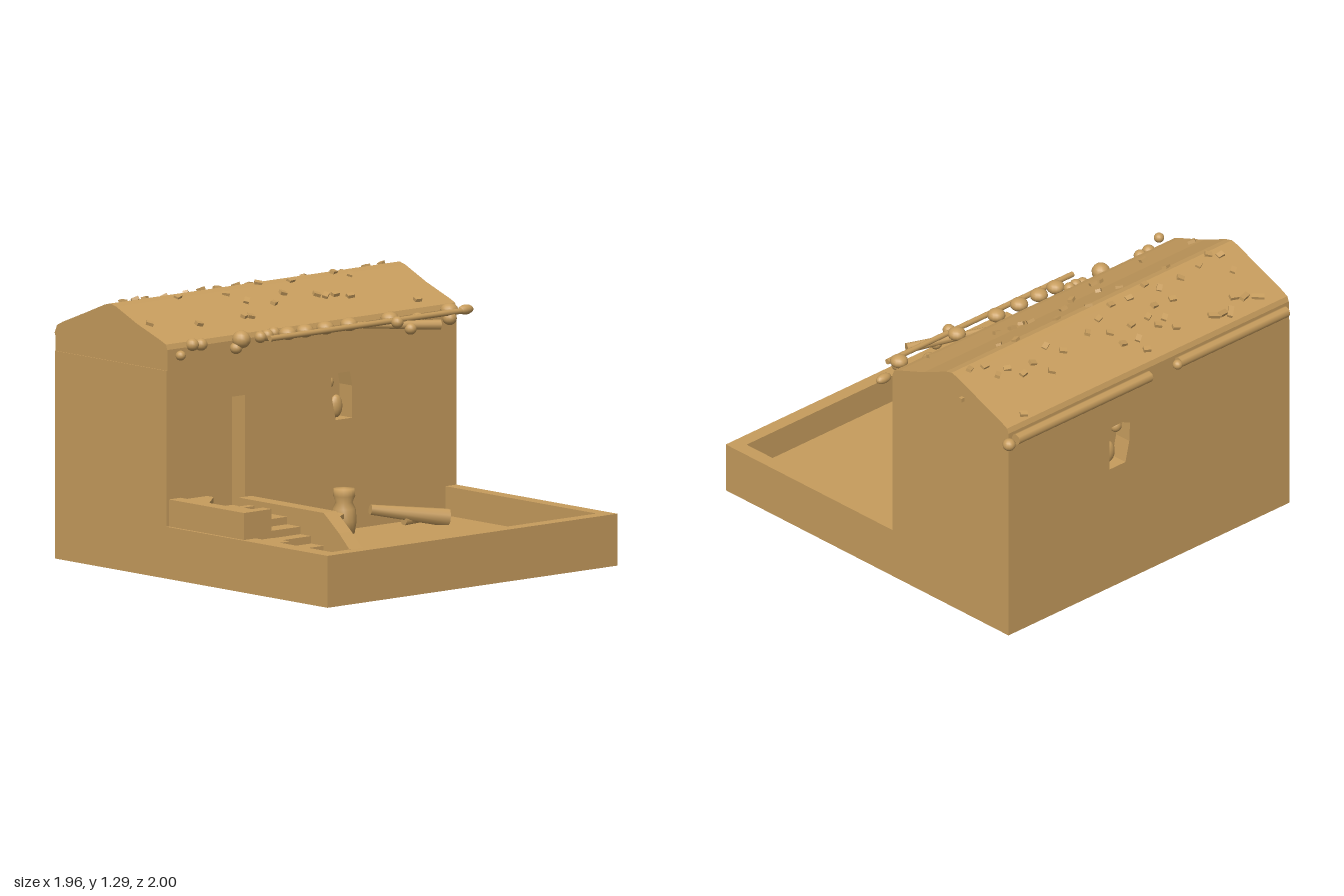
import * as THREE from 'three';

const clay = new THREE.MeshStandardMaterial({ color: 0xc69c5d });
clay.name = 'clay';

export function createModel() {
  const model = new THREE.Group();
  model.name = 'courtyardHouse';

  const add = (name, geo, x = 0, y = 0, z = 0, rx = 0, ry = 0, rz = 0) => {
    const m = new THREE.Mesh(geo, clay);
    m.name = name;
    m.position.set(x, y, z);
    m.rotation.set(rx, ry, rz);
    model.add(m);
    return m;
  };
  // box given by its limits on each axis
  const block = (name, x0, x1, y0, y1, z0, z1) =>
    add(name, new THREE.BoxGeometry(x1 - x0, y1 - y0, z1 - z0), (x0 + x1) / 2, (y0 + y1) / 2, (z0 + z1) / 2);
  const outline = pts => new THREE.Shape(pts.map(p => new THREE.Vector2(p[0], p[1])));
  // [z, y] profile carried along x
  const extrudeX = (name, pts, x0, x1) => {
    const g = new THREE.ExtrudeGeometry(outline(pts.map(([z, y]) => [-z, y])), { depth: x1 - x0, bevelEnabled: false });
    g.rotateY(Math.PI / 2);
    return add(name, g, x0);
  };
  const pebble = (name, x, y, z, rx, ry = rx, rz = rx) => {
    const m = add(name, new THREE.SphereGeometry(1, 14, 10), x, y, z);
    m.scale.set(rx, ry, rz);
    return m;
  };
  const rod = (name, a, b, r0, r1 = r0, sides = 10) => {
    const p = new THREE.Vector3(...a), q = new THREE.Vector3(...b);
    const m = add(name, new THREE.CylinderGeometry(r1, r0, p.distanceTo(q), sides));
    m.position.copy(p).lerp(q, 0.5);
    m.quaternion.setFromUnitVectors(new THREE.Vector3(0, 1, 0), q.sub(p).normalize());
    return m;
  };

  // House: solid core, pierced front and back walls, gabled roof
  const L = -0.96, R = 0.89, F = -0.145, B = -0.94, T = 0.09, eave = 1.0;
  block('houseCore', L, R, 0, eave, B + T, F - T);
  const windowHole = [[0.09, 0.85], [0.14, 0.87], [0.21, 0.87], [0.225, 0.80], [0.225, 0.645], [0.12, 0.645], [0.095, 0.75]];
  const doorHole = [[-0.70, 0.29], [-0.46, 0.29], [-0.46, 0.83], [-0.70, 0.83]];
  const wall = (name, holes, z) => {
    const s = outline([[L, 0], [R, 0], [R, eave], [L, eave]]);
    holes.forEach(h => s.holes.push(outline(h)));
    add(name, new THREE.ExtrudeGeometry(s, { depth: T, bevelEnabled: false }), 0, 0, z);
  };
  wall('frontWall', [windowHole, doorHole], F - T);
  wall('backWall', [windowHole], B);
  for (const z of [F - 0.06, B + 0.06]) {
    pebble('windowLump', 0.175, 0.70, z, 0.035, 0.055, 0.025);
    pebble('windowLump', 0.125, 0.82, z, 0.03, 0.03, 0.025);
  }
  extrudeX('roof', [
    [F, eave], [F, 1.10], [-0.155, 1.125], [-0.19, 1.14], [-0.36, 1.20], [-0.51, 1.265], [-0.55, 1.275],
    [-0.59, 1.265], [-0.75, 1.20], [-0.89, 1.145], [-0.93, 1.125], [B, 1.10], [B, eave]
  ], L + 0.005, R);

  // Courtyard floor and low enclosing walls
  const floor = 0.11;
  block('courtyardFloor', L, R, 0, floor, F, 1);
  block('frontParapet', L, R, floor, 0.25, 0.93, 1);
  block('rightParapet', 0.82, R, floor, 0.25, F, 0.93);
  block('leftParapet', L, -0.87, floor, 0.25, F, 0.93);

  // Stairway up to the door
  const treads = [0.53, 0.46, 0.37, 0.295, 0.20];
  treads.forEach((z, i) => block('step', -0.87, -0.50, floor, floor + 0.036 * (i + 1), F, z));
  extrudeX('stairParapet', [
    [F, floor], [F, 0.34], [0.46, 0.34], [0.57, 0.255], [0.64, 0.19], [0.93, 0.17], [0.93, floor]
  ], -0.50, -0.42);
  block('stairSideWall', -0.945, -0.87, 0.24, 0.38, F, 0.39);
  block('stairPost', -0.87, -0.77, floor, 0.38, 0.33, 0.39);
  block('stairPost', -0.87, -0.77, floor, 0.38, 0.23, 0.27);
  block('stairPostFill', -0.87, -0.84, floor, 0.38, 0.27, 0.33);
  block('stairPostFill', -0.84, -0.77, floor, 0.31, 0.27, 0.33);
  block('stairFoot', -0.87, -0.77, floor, 0.24, 0.39, 0.52);
  // wedge bench beside the door
  const bench = new THREE.ExtrudeGeometry(outline([[-0.88, 0.145], [-0.70, 0.145], [-0.70, 0.10], [-0.87, -0.05]]),
    { depth: 0.09, bevelEnabled: false });
  add('doorBench', bench.rotateX(-Math.PI / 2), 0, 0.28, 0);

  // Pole with gourds under the front eave
  rod('eavePole', [-0.39, 1.105, -0.045], [0.83, 1.105, -0.045], 0.014);
  for (const x of [-0.24, -0.13, 0, 0.15, 0.41, 0.79])
    pebble('gourd', x, 1.11, -0.085, 0.044, 0.032, 0.044);
  const stones = [
    [-0.80, 1.11, -0.14, 0.032], [-0.745, 1.105, -0.14, 0.032], [-0.505, 1.105, -0.12, 0.045],
    [-0.53, 1.065, -0.13, 0.03], [-0.37, 1.10, -0.135, 0.03], [-0.33, 1.105, -0.13, 0.03],
    [-0.28, 1.11, -0.14, 0.03], [0.485, 1.06, -0.02, 0.03], [0.63, 1.07, -0.13, 0.04],
    [0.77, 1.075, -0.06, 0.035], [0.91, 1.06, -0.965, 0.032], [-0.955, 1.085, -0.05, 0.025],
    [-0.19, 1.07, -0.975, 0.025], [0.40, 1.10, -0.02, 0.03]
  ];
  for (const [x, y, z, r] of stones) pebble('eaveStone', x, y, z, r, r * 0.95, r);
  pebble('eaveStone', 0.935, 1.09, -0.13, 0.045, 0.024, 0.025);
  rod('eaveTwig', [0.24, 1.09, -0.14], [0.63, 1.07, 0.03], 0.015, 0.025);

  // Beams under the back eave
  for (const [a, b] of [[-0.91, -0.20], [-0.01, 0.87]])
    rod('backBeam', [a, 1.075, -0.97], [b, 1.075, -0.97], 0.027, 0.027, 8);

  // Loose tile chips on the roof, as [x, z] pairs
  const chips = [
    -0.81, -0.88, -0.75, -0.85, -0.71, -0.83, -0.62, -0.89, -0.58, -0.88, -0.53, -0.87, -0.82, -0.70, -0.83, -0.60,
    -0.78, -0.57, -0.69, -0.60, -0.64, -0.27, -0.55, -0.62, -0.56, -0.51, -0.42, -0.70, -0.41, -0.62, -0.36, -0.57,
    -0.31, -0.84, -0.30, -0.77, -0.31, -0.69, -0.24, -0.79, -0.23, -0.73, -0.23, -0.60, -0.28, -0.48, -0.34, -0.28,
    -0.31, -0.27, -0.22, -0.40, -0.12, -0.73, -0.08, -0.88, -0.09, -0.81, -0.12, -0.59, -0.03, -0.53, -0.09, -0.35,
    0.0, -0.80, 0.01, -0.72, 0.0, -0.63, 0.03, -0.42, 0.11, -0.67, 0.16, -0.51, 0.20, -0.37, 0.24, -0.35,
    0.30, -0.35, 0.30, -0.70, 0.36, -0.64, 0.37, -0.32, 0.44, -0.77, 0.45, -0.53, 0.49, -0.69, 0.52, -0.49,
    0.58, -0.72, 0.63, -0.66, 0.70, -0.67, 0.72, -0.60, 0.76, -0.91, 0.80, -0.58, 0.70, -0.21, -0.90, -0.33
  ];
  for (let i = 0; i < chips.length; i += 2) {
    const x = chips[i], z = chips[i + 1], side = z > -0.55 ? 1 : -1, k = i / 2;
    const y = 1.283 - 0.375 * Math.abs(z + 0.55);
    const len = i < 12 ? 0.06 : 0.036;
    add('tileChip', new THREE.BoxGeometry(len, 0.016, 0.026), x, y, z,
      side * 0.36, ((k * 7) % 11 - 5) * 0.15, ((k * 5) % 7 - 3) * 0.08);
  }
  add('tileChip', new THREE.BoxGeometry(0.02, 0.02, 0.02), 0.93, 1.19, -0.66);

  // Yard furnishings: stool, seat, jar and a leaning log
  add('stoolTop', new THREE.CylinderGeometry(0.065, 0.055, 0.03, 16), -0.23, 0.165, -0.02);
  add('stoolLeg', new THREE.CylinderGeometry(0.03, 0.04, 0.05, 12), -0.23, 0.13, -0.02);
  add('seatTop', new THREE.BoxGeometry(0.12, 0.025, 0.09), -0.01, 0.20, -0.04, 0.1, 0.4, 0.1);
  for (const [x, z] of [[-0.05, -0.01], [0.04, -0.04], [0, -0.08], [0, 0.01]])
    rod('seatLeg', [x, floor, z], [x * 0.8, 0.2, z], 0.016, 0.016, 6);
  const jar = [[0, 0], [0.05, 0], [0.06, 0.06], [0.055, 0.12], [0.04, 0.15], [0.053, 0.18], [0.05, 0.215], [0, 0.22]];
  add('jar', new THREE.LatheGeometry(jar.map(p => new THREE.Vector2(...p)), 16), 0.115, floor, -0.08);
  rod('log', [0.30, 0.20, -0.10], [0.66, 0.14, 0.05], 0.025, 0.045, 8);
  rod('logBranch', [0.45, 0.14, -0.03], [0.66, 0.14, -0.02], 0.025, 0.015, 6);

  return model;
}
